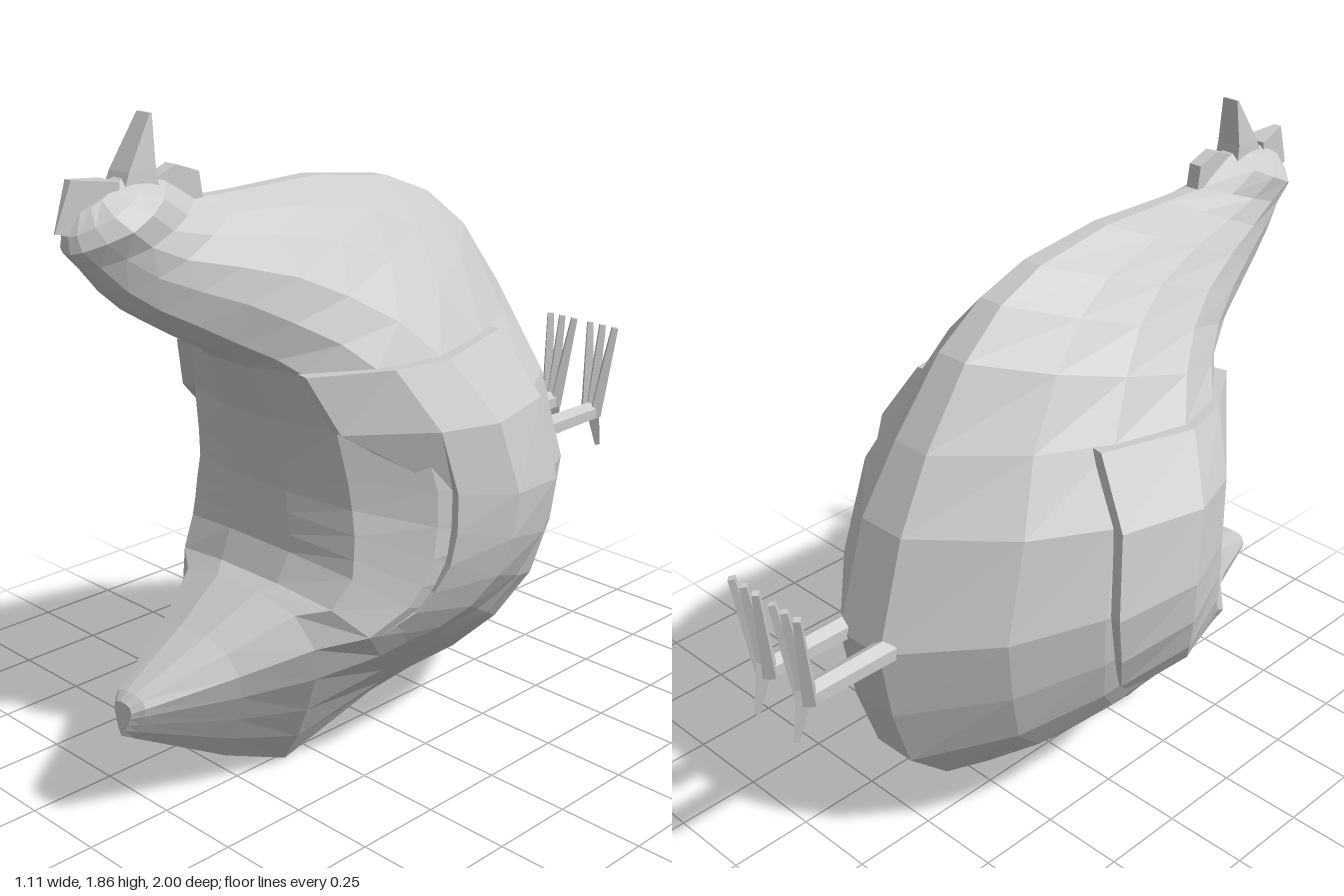
import * as THREE from 'three';

const grey = new THREE.MeshStandardMaterial({ color: 0xcccccc, flatShading: true });

// Skin over a list of rings (counter-clockwise around the path), with both ends capped
function loft(rings) {
  const out = [];
  const tri = (a, b, c) => out.push(...a, ...b, ...c);
  const n = rings[0].length;
  for (let i = 0; i < rings.length - 1; i++)
    for (let j = 0; j < n; j++) {
      const k = (j + 1) % n, p = rings[i], q = rings[i + 1];
      tri(p[j], p[k], q[k]);
      tri(p[j], q[k], q[j]);
    }
  const cap = (ring, flip) => {
    const mid = [0, 1, 2].map(a => ring.reduce((s, p) => s + p[a], 0) / n);
    ring.forEach((p, j) => {
      const q = ring[(j + 1) % n];
      flip ? tri(mid, q, p) : tri(mid, p, q);
    });
  };
  cap(rings[0], true);
  cap(rings[rings.length - 1], false);
  const g = new THREE.BufferGeometry();
  g.setAttribute('position', new THREE.Float32BufferAttribute(out, 3));
  g.computeVertexNormals();
  return g;
}

// Body stations from tail to head: back z, back y, belly z, belly y, half width,
// section shape (1 = tail, 0 = plump, negative = head, narrow at the back)
const stations = [
  [0.875, 0.37, 0.885, 0.28, 0.035, 1],
  [0.85, 0.39, 0.85, 0.26, 0.06, 1],
  [0.64, 0.49, 0.55, 0.09, 0.165, 1],
  [0.48, 0.58, 0.34, 0.00, 0.27, 1],
  [0.44, 0.60, 0.00, 0.09, 0.37, 1],
  [0.40, 0.68, -0.30, 0.13, 0.44, 0.7],
  [0.40, 0.73, -0.47, 0.20, 0.475, 0.45],
  [0.40, 0.79, -0.61, 0.33, 0.505, 0.25],
  [0.40, 0.85, -0.67, 0.52, 0.52, 0.08],
  [0.41, 0.92, -0.705, 0.74, 0.525, 0],
  [0.43, 1.05, -0.61, 1.05, 0.495, 0],
  [0.49, 1.20, -0.50, 1.24, 0.39, 0],
  [0.53, 1.23, -0.35, 1.44, 0.32, 0],
  [0.62, 1.28, -0.21, 1.55, 0.25, 0],
  [0.72, 1.34, -0.06, 1.61, 0.20, 0],
  [0.80, 1.39, 0.20, 1.645, 0.155, 0],
  [0.87, 1.45, 0.45, 1.64, 0.12, 0],
  [0.93, 1.52, 0.60, 1.64, 0.105, -0.3],
  [0.97, 1.56, 0.69, 1.695, 0.11, -0.7],
  [0.97, 1.60, 0.75, 1.715, 0.075, -0.7],
  [0.945, 1.65, 0.80, 1.725, 0.035, -0.3],
];
// Half section from back to belly: position along the section, plump width, tail width
const section = [
  [0, 0.2, 0.3], [0.05, 0.56, 0.8], [0.2, 0.86, 1], [0.38, 1, 0.9],
  [0.6, 0.87, 0.65], [0.8, 0.62, 0.4], [1, 0.15, 0.08],
];

// Point on the left side of the body; the column may be fractional
function skin(station, column) {
  const [bz, by, fz, fy, w, k] = stations[station];
  const j = Math.min(Math.floor(column), section.length - 2);
  const [t, plump, tail] = section[j].map((v, a) => v + (section[j + 1][a] - v) * (column - j));
  return [w * (plump + (tail - plump) * k), by + (fy - by) * t, bz + (fz - bz) * t];
}

function bodyGeometry() {
  return loft(stations.map((_, i) => {
    const half = section.map((_, j) => skin(i, j));
    return [...half, ...half.map(([x, y, z]) => [-x, y, z]).reverse()];
  }));
}

// Wing rings: station, first column, rear column, lift, rear lift
const wingRings = [
  [4, 2.2, 3.6, -0.2, -0.3],
  [5, 2.2, 3.7, 0.25, -0.3],
  [6, 2.2, 3.75, 0.5, -0.2],
  [7, 2.2, 3.8, 0.8, 0.2],
  [8, 2.2, 3.85, 1, 0.8],
  [9, 2.2, 3.9, 1, 1],
  [10, 1, 4, 1, 1],
  [11, 1, 4.25, 1, 1],
];

// Wing: a raised panel that follows the body side and fades out toward the tail
function wingGeometry(side) {
  const rings = wingRings.map(([i, first, rear, lift, rearLift]) => {
    const cols = [first, 2.2, 3, rear];
    const lifts = [first > 2 ? 0 : lift, lift, lift, rearLift];
    const outer = cols.map((c, n) => {
      const [x, y, z] = skin(i, c);
      return [x + 0.032 * lifts[n], y, z + [0.015, 0.012, 0, -0.012][n] * lifts[n]];
    });
    const inner = cols.map(c => {
      const [x, y, z] = skin(i, c);
      return [x * 0.88, y, z];
    }).reverse();
    const ring = [...outer, ...inner].map(([x, y, z]) => [x * side, y, z]);
    return side > 0 ? ring : ring.reverse();
  });
  return loft(rings);
}

// Flat plate drawn in the z-y plane, centred on x = 0
function plate(points, thickness) {
  const shape = new THREE.Shape(points.map(p => new THREE.Vector2(...p)));
  return new THREE.ExtrudeGeometry(shape, { depth: thickness, bevelEnabled: false })
    .translate(0, 0, -thickness / 2).rotateY(-Math.PI / 2);
}

// Tapered bar between two points
function bar(from, to, r1, r2, sides) {
  const a = new THREE.Vector3(...from), b = new THREE.Vector3(...to);
  const dir = b.clone().sub(a);
  const g = new THREE.CylinderGeometry(r2, r1, dir.length(), sides);
  g.applyQuaternion(new THREE.Quaternion().setFromUnitVectors(new THREE.Vector3(0, 1, 0), dir.normalize()));
  return g.translate(...a.add(b).multiplyScalar(0.5).toArray());
}

export function createModel() {
  const model = new THREE.Group();
  const add = (name, geometry, parent = model) => {
    const mesh = new THREE.Mesh(geometry, grey);
    mesh.name = name;
    parent.add(mesh);
  };

  add('body', bodyGeometry());
  add('leftWing', wingGeometry(1));
  add('rightWing', wingGeometry(-1));

  // Beak: a wedge narrowing to a blunt edge
  const rect = (hx, y, z0, z1) => [[-hx, y, z1], [hx, y, z1], [hx, y, z0], [-hx, y, z0]];
  add('beak', loft([rect(0.042, 1.66, 0.72, 0.84), rect(0.038, 1.73, 0.73, 0.81), rect(0.025, 1.86, 0.726, 0.732)]));

  // Comb: tapers to a sharp rear edge
  const comb = plate([[0.84, 1.58], [1.0, 1.61], [0.955, 1.73], [0.84, 1.715]], 0.08);
  const p = comb.attributes.position;
  for (let i = 0; i < p.count; i++)
    p.setX(i, p.getX(i) * Math.max(0.05, Math.min(1, (1.0 - p.getZ(i)) / 0.15)));
  comb.computeVertexNormals();
  add('comb', comb);

  add('wattle', plate([[0.565, 1.6], [0.75, 1.6], [0.74, 1.70], [0.72, 1.705], [0.655, 1.73], [0.585, 1.705], [0.575, 1.64]], 0.04));

  // Legs with three front toes and one back toe
  for (const side of [1, -1]) {
    const leg = new THREE.Group();
    leg.name = side > 0 ? 'leftLeg' : 'rightLeg';
    const x = 0.08 * side;
    add('shank', bar([x, 0.745, -0.6], [x, 0.745, -0.955], 0.036, 0.032, 6), leg);
    for (const s of [-1, 0, 1])
      add('frontToe', bar([x + s * 0.015, 0.735, -0.945], [x + s * 0.048, 1.02, -0.986], 0.024, 0.013, 4), leg);
    add('backToe', bar([x, 0.77, -0.945], [x, 0.625, -0.986], 0.03, 0.011, 4), leg);
    model.add(leg);
  }
  return model;
}
